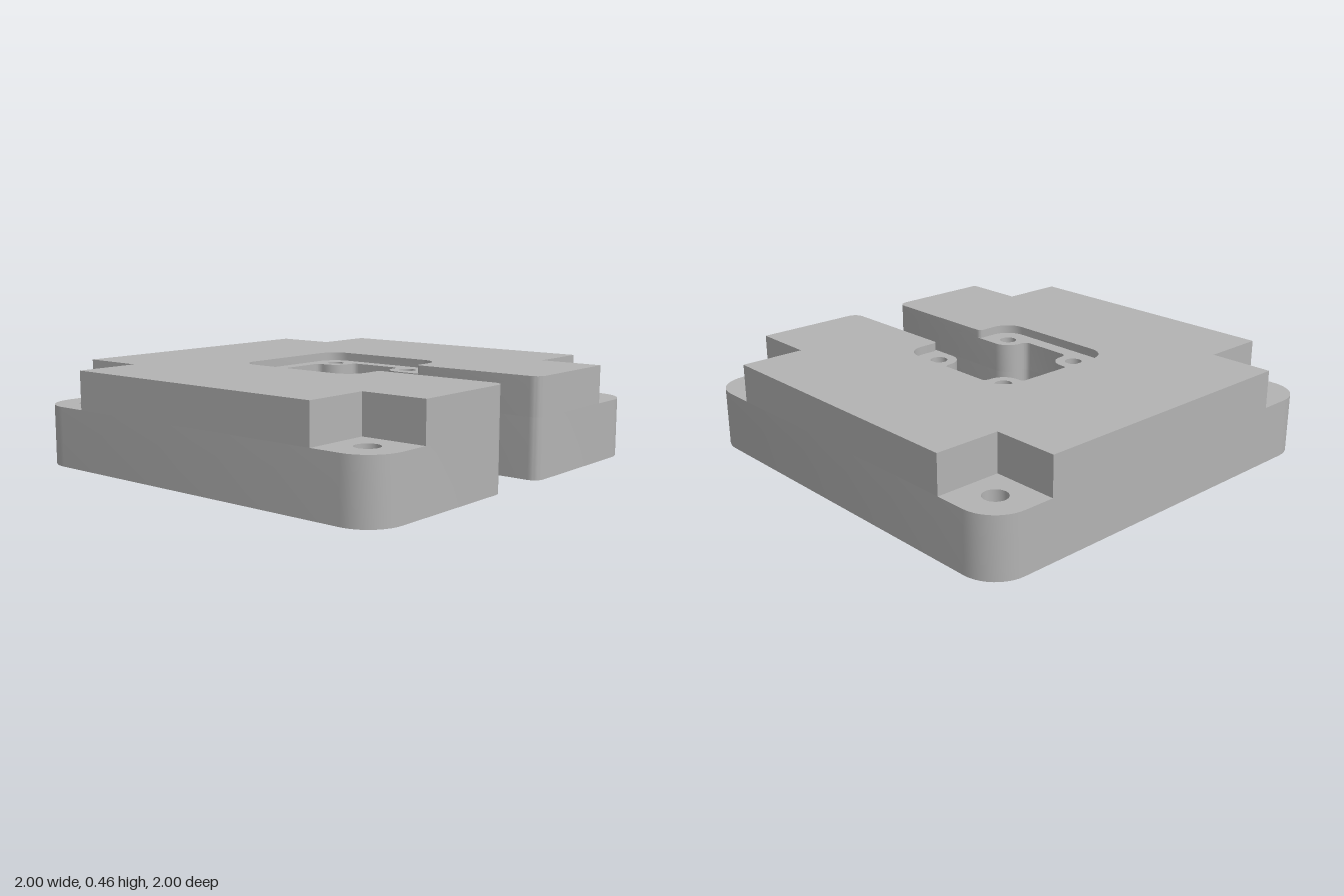
import * as THREE from 'three';
import { mergeGeometries, toCreasedNormals } from 'three/addons/utils/BufferGeometryUtils.js';

// Plan shapes use (x, -z). Each corner is [x, y, radius].
const SIGNS = [[1, 1], [-1, 1], [-1, -1], [1, -1]];

function roundedPoints(corners) {
  const out = [];
  corners.forEach(([x, y, r = 0], i) => {
    const p = new THREE.Vector2(x, y);
    if (!r) return out.push(p);
    const n = corners.length;
    const a = corners[(i + n - 1) % n], b = corners[(i + 1) % n];
    // all corners are square, so tangent points lie one radius from the corner
    const da = new THREE.Vector2(a[0] - x, a[1] - y).normalize().multiplyScalar(r);
    const db = new THREE.Vector2(b[0] - x, b[1] - y).normalize().multiplyScalar(r);
    const c = p.clone().add(da).add(db);
    for (let k = 0; k <= 10; k++) {
      const t = (k / 10) * Math.PI / 2;
      out.push(c.clone().addScaledVector(db, -Math.cos(t)).addScaledVector(da, -Math.sin(t)));
    }
  });
  return out;
}

const circle = (x, y, r) => Array.from({ length: 32 }, (_, i) => {
  const t = (i / 32) * Math.PI * 2;
  return new THREE.Vector2(x + r * Math.cos(t), y + r * Math.sin(t));
});
const fourHoles = (d, r) => SIGNS.map(([sx, sy]) => circle(sx * d, sy * d, r));

function plan(points, holes = []) {
  const s = new THREE.Shape(points);
  s.holes = holes.map((h) => new THREE.Path(h));
  return s;
}

// Close a right-hand half outline with its mirror image
function symmetric(half) {
  const left = half.map(([x, y, r]) => [-x, y, r]).reverse();
  return roundedPoints([...half, ...left]);
}

// Vertical walls only, without lids
function walls(shape, y0, y1) {
  const e = new THREE.ExtrudeGeometry(shape, { depth: y1 - y0, bevelEnabled: false });
  const { start, count } = e.groups[1];
  const pos = e.getAttribute('position').array.slice(start * 3, (start + count) * 3);
  const g = new THREE.BufferGeometry();
  g.setAttribute('position', new THREE.BufferAttribute(pos, 3));
  return g.rotateX(-Math.PI / 2).translate(0, y0, 0);
}

// Horizontal face looking up or down
function face(shape, y, down = false) {
  const g = new THREE.ShapeGeometry(shape);
  if (down) g.setIndex(Array.from(g.index.array).reverse());
  g.deleteAttribute('uv');
  g.deleteAttribute('normal');
  return g.toNonIndexed().rotateX(-Math.PI / 2).translate(0, y, 0);
}

export function createModel() {
  const group = new THREE.Group();
  const grey = new THREE.MeshStandardMaterial({ color: 0xb3b3b3 });
  grey.name = 'plainGrey';
  const add = (name, geos) => {
    const mesh = new THREE.Mesh(toCreasedNormals(mergeGeometries(geos), 0.5), grey);
    mesh.name = name;
    group.add(mesh);
  };

  // Heights
  const BORE = 0.18, LEDGE = 0.28, FLOOR = 0.42, TOP = 0.46;

  // Half outlines, from the back of the opening round to the back edge
  const opening = [[0.14, 0.27, 0.03], [0.14, 0.14, 0.085], [0.265, 0.14, 0.03],
    [0.265, -0.14, 0.03], [0.14, -0.14, 0.085]];
  const pocket = [[0.335, 0.34, 0.1], [0.335, -0.34, 0.1], [0.14, -0.34, 0.02]];
  const outer = [[0.14, -1, 0.05], [1, -1, 0.165], [1, 1, 0.165]];
  const notched = [[0.14, -1, 0.05], [0.69, -1], [0.69, -0.69], [1, -0.69],
    [1, 0.69], [0.69, 0.69], [0.69, 1]];

  const base = symmetric([...opening, ...outer]);
  const middle = symmetric([...opening, ...notched]);
  const upper = symmetric([...pocket, ...notched]);

  const smallHoles = fourHoles(0.225, 0.04);
  const cornerHoles = fourHoles(0.833, 0.055);
  const counterbores = fourHoles(0.833, 0.11);

  // Lower plate with counterbored corner holes
  const lower = plan(base, [...smallHoles, ...counterbores]);
  add('basePlate', [
    face(lower, 0, true),
    walls(lower, 0, BORE),
    walls(plan(base, [...smallHoles, ...cornerHoles]), BORE, LEDGE),
  ]);
  add('counterboreSeats', counterbores.map((c, i) => face(plan(c, [cornerHoles[i]]), BORE, true)));

  // Corner ledges around the mounting holes
  add('cornerLedges', SIGNS.map(([sx, sy], i) => {
    const corners = [[0.69, 0.69], [1, 0.69], [1, 1, 0.165], [0.69, 1]];
    const pts = roundedPoints(corners.map(([x, y, r]) => [sx * x, sy * y, r]));
    return face(plan(pts, [cornerHoles[i]]), LEDGE);
  }));

  // Raised body with notched corners
  add('raisedBody', [
    walls(plan(middle, smallHoles), LEDGE, FLOOR),
    walls(plan(upper), FLOOR, TOP),
    face(plan(upper), TOP),
  ]);

  // Recessed floor around the central opening
  const floor = symmetric([...opening, [0.14, -0.36], [0.146, -0.346], [0.16, -0.34],
    pocket[1], pocket[0]]);
  add('pocketFloor', [face(plan(floor, smallHoles), FLOOR)]);

  return group;
}
